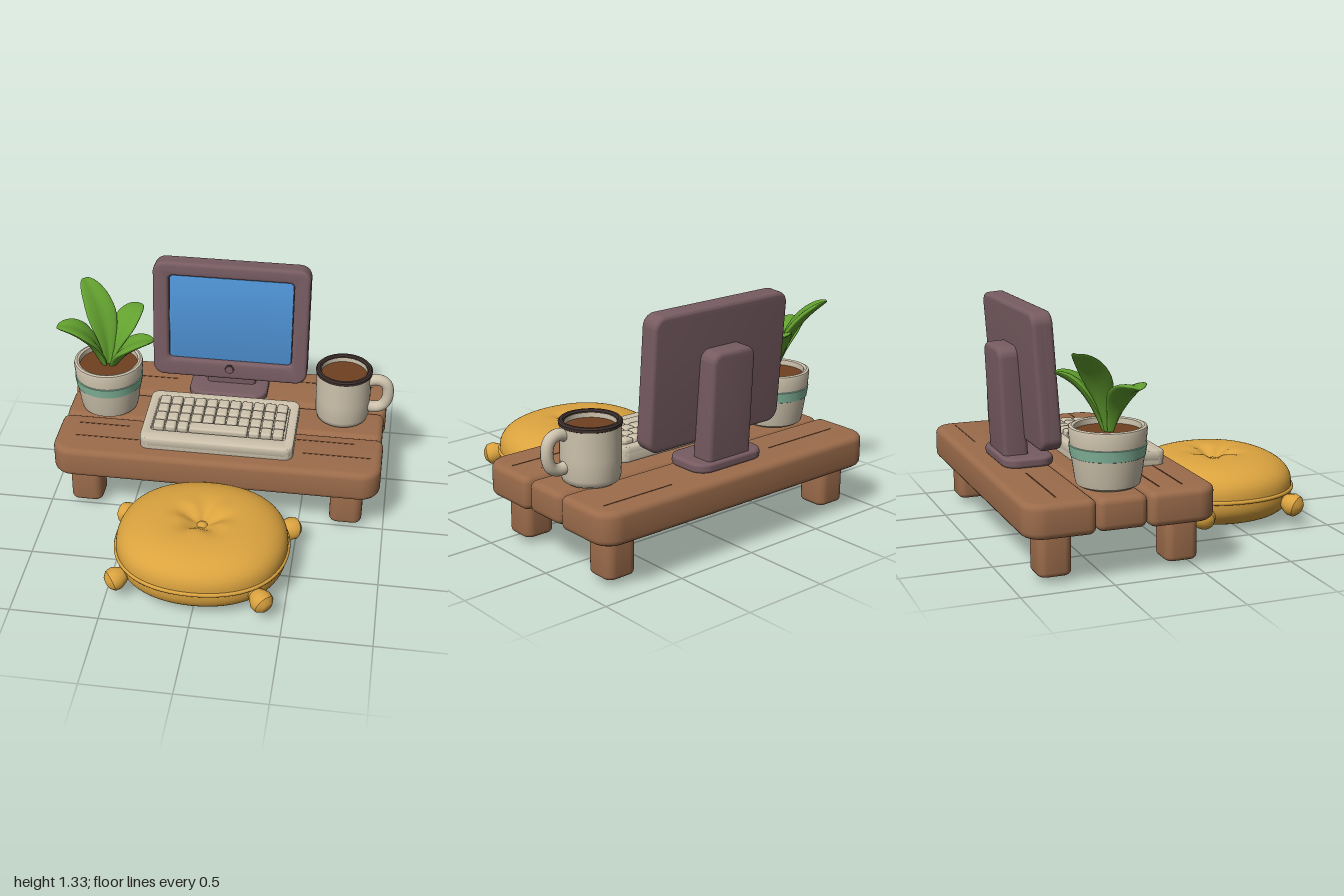
import * as THREE from 'three';
import { mergeVertices, toCreasedNormals } from 'three/addons/utils/BufferGeometryUtils.js';
import { RoundedBoxGeometry } from 'three/addons/geometries/RoundedBoxGeometry.js';

const material = (name, color) => Object.assign(new THREE.MeshStandardMaterial({ color }), { name });
const wood = material('wood', 0x9c6c4b);
const darkWood = material('dark wood', 0x70482f);
const plum = material('plum plastic', 0x775c62);
const blue = material('blue screen', 0x4f94d6);
const cream = material('cream', 0xcdc2ac);
const gold = material('gold fabric', 0xdba33f);
const green = material('leaf green', 0x62a02f);
const brown = material('coffee and soil', 0x70401f);
const dark = material('dark trim', 0x3d302c);
const teal = material('teal band', 0x84b79c);

function add(parent, name, geometry, mat, x = 0, y = 0, z = 0) {
  const mesh = new THREE.Mesh(geometry, mat);
  mesh.name = name;
  mesh.position.set(x, y, z);
  parent.add(mesh);
  return mesh;
}

function group(parent, name, x = 0, y = 0, z = 0) {
  const g = new THREE.Group();
  g.name = name;
  g.position.set(x, y, z);
  parent.add(g);
  return g;
}

// Rounded rectangle with separate corner radii for its top and bottom edge
function outline(Type, w, h, top, bottom = top, cy = 0) {
  const s = new Type(), x = w / 2, y = h / 2;
  s.absarc(x - top, cy + y - top, top, 0, Math.PI / 2);
  s.absarc(-x + top, cy + y - top, top, Math.PI / 2, Math.PI);
  s.absarc(-x + bottom, cy - y + bottom, bottom, Math.PI, Math.PI * 1.5);
  s.absarc(x - bottom, cy - y + bottom, bottom, Math.PI * 1.5, Math.PI * 2);
  s.closePath();
  return s;
}

// Soft-edged slab, centred, with its thickness along z
function slab(shape, depth, bevel) {
  const g = new THREE.ExtrudeGeometry(shape, {
    depth: depth - 2 * bevel, bevelSize: bevel, bevelThickness: bevel,
    bevelOffset: -bevel, bevelSegments: 4, curveSegments: 6,
  });
  g.translate(0, 0, bevel - depth / 2);
  return toCreasedNormals(g, 0.7);
}
const flatSlab = (shape, depth, bevel) => slab(shape, depth, bevel).rotateX(-Math.PI / 2);

const lathe = (points, segments = 40) =>
  toCreasedNormals(new THREE.LatheGeometry(points.map(p => new THREE.Vector2(...p)), segments), 0.7);

function buildTable(model) {
  const table = group(model, 'table');
  // Three planks: back edge, front edge, back corner radius, front corner radius
  [[-0.955, -0.575, 0.12, 0.045], [-0.57, -0.295, 0.045, 0.045], [-0.29, 0.1, 0.045, 0.12]]
    .forEach(([z0, z1, back, front], i) => {
      const w = i === 1 ? 1.91 : 1.93;
      add(table, 'plank', flatSlab(outline(THREE.Shape, w, z1 - z0, back, front), i === 1 ? 0.175 : 0.185, 0.035),
        wood, 0, 0.367, (z0 + z1) / 2);
    });
  // Grain grooves
  [[-0.45, -0.07, 0.8], [0.7, -0.08, 0.4], [0.55, -0.21, 0.5], [-0.6, -0.76, 0.5], [0.65, -0.83, 0.45], [-0.7, -0.2, 0.3]]
    .forEach(([x, z, w]) => add(table, 'grainGroove', new THREE.BoxGeometry(w, 0.003, 0.007), darkWood, x, 0.46, z));
  for (const x of [-0.78, 0.775]) for (const z of [-0.07, -0.77])
    add(table, 'leg', flatSlab(outline(THREE.Shape, 0.19, 0.185, 0.05), 0.26, 0.025), wood, x, 0.175, z);
}

function buildMonitor(model) {
  const monitor = group(model, 'monitor', 0, 0.965, -0.672);
  monitor.rotation.x = -0.07;
  add(monitor, 'monitorBack', slab(outline(THREE.Shape, 0.94, 0.75, 0.07), 0.0775, 0.02), plum, 0, 0, -0.019);
  const frame = outline(THREE.Shape, 0.94, 0.75, 0.07);
  frame.holes.push(outline(THREE.Path, 0.75, 0.55, 0.03, 0.03, 0.015));
  add(monitor, 'bezel', slab(frame, 0.0875, 0.02), plum, 0, 0, 0.014);
  add(monitor, 'screenSurround', new THREE.BoxGeometry(0.77, 0.57, 0.008), dark, 0, 0.015, 0.022);
  add(monitor, 'screen', slab(outline(THREE.Shape, 0.742, 0.542, 0.025), 0.009, 0.002), blue, 0, 0.015, 0.031);
  add(monitor, 'powerButtonRing', new THREE.CylinderGeometry(0.03, 0.03, 0.006, 20).rotateX(Math.PI / 2), dark, 0, -0.305, 0.057);
  add(monitor, 'powerButton', new THREE.CylinderGeometry(0.022, 0.025, 0.014, 20).rotateX(Math.PI / 2), plum, 0, -0.305, 0.058);
  // Stand
  add(model, 'standColumn', slab(outline(THREE.Shape, 0.3, 0.63, 0.06, 0.03), 0.14, 0.025), plum, 0, 0.795, -0.762)
    .rotation.x = -0.04;
  add(model, 'standBase', flatSlab(outline(THREE.Shape, 0.48, 0.29, 0.09), 0.055, 0.018), plum, -0.01, 0.483, -0.697);
}

function buildKeyboard(model) {
  const keyboard = group(model, 'keyboard', 0, 0.502, -0.23);
  keyboard.rotation.x = 0.05;
  const tray = outline(THREE.Shape, 0.9, 0.48, 0.05);
  tray.holes.push(outline(THREE.Path, 0.79, 0.33, 0.02, 0.02, 0.018));
  add(keyboard, 'keyboardBase', flatSlab(outline(THREE.Shape, 0.9, 0.48, 0.05), 0.07, 0.015), cream, 0, -0.01, 0);
  add(keyboard, 'keyboardRim', flatSlab(tray, 0.065, 0.012), cream, 0, 0.014, 0);
  // Keys, with a long bar in the front row
  const key = new RoundedBoxGeometry(0.064, 0.05, 0.072, 2, 0.014);
  for (let row = 0; row < 4; row++) for (let col = 0; col < 11; col++) {
    if (row === 3 && col > 2 && col < 8) continue;
    add(keyboard, 'key', key, cream, (col - 5) * 0.0705, 0.04, -0.138 + row * 0.08);
  }
  add(keyboard, 'spaceBar', new RoundedBoxGeometry(0.345, 0.05, 0.072, 2, 0.014), cream, 0, 0.04, 0.102);
}

function buildMug(model) {
  const mug = group(model, 'mug', 0.7, 0.46, -0.505);
  add(mug, 'mugBody', lathe([[0, 0], [0.135, 0], [0.152, 0.012], [0.16, 0.04], [0.163, 0.15], [0.163, 0.32],
    [0.137, 0.32], [0.135, 0.25]]), cream);
  add(mug, 'mugRim', lathe([[0.161, 0.308], [0.167, 0.312], [0.168, 0.328], [0.16, 0.337], [0.146, 0.337], [0.138, 0.328], [0.138, 0.315]]), dark);
  add(mug, 'coffee', new THREE.CylinderGeometry(0.137, 0.137, 0.01, 40), brown, 0, 0.29, 0);
  const path = new THREE.CatmullRomCurve3([[0.14, 0.27], [0.2, 0.285], [0.25, 0.262], [0.267, 0.19], [0.245, 0.12],
    [0.2, 0.095], [0.14, 0.1]].map(([x, y]) => new THREE.Vector3(x, y, 0.02)));
  add(mug, 'mugHandle', new THREE.TubeGeometry(path, 32, 0.034, 14), cream);
}

// Leaf: a sphere stretched along a curved spine, narrow at the stem
function leaf(mid, tip, halfWidth) {
  const spine = new THREE.QuadraticBezierCurve3(
    new THREE.Vector3(mid[0] * 0.15, 0.25, mid[2] * 0.15), new THREE.Vector3(...mid), new THREE.Vector3(...tip));
  const g = new THREE.SphereGeometry(1, 24, 24), p = g.attributes.position;
  const up = new THREE.Vector3(0, 1, 0);
  for (let i = 0; i < p.count; i++) {
    const x = p.getX(i), z = p.getZ(i), t = THREE.MathUtils.clamp((p.getY(i) + 1) / 2, 0, 1);
    const tangent = spine.getTangent(t);
    const side = tangent.clone().cross(up).normalize();
    const normal = side.clone().cross(tangent);
    const width = halfWidth * (0.45 + 0.6 * THREE.MathUtils.smoothstep(t, 0.05, 0.6));
    const v = spine.getPoint(t).addScaledVector(side, x * width)
      .addScaledVector(normal, z * 0.024 + Math.abs(x) * 0.025);
    p.setXYZ(i, v.x, v.y, v.z);
  }
  g.computeVertexNormals();
  return g;
}

function buildPlant(model) {
  const plant = group(model, 'plant', -0.71, 0.46, -0.428);
  add(plant, 'pot', lathe([[0, 0], [0.15, 0], [0.168, 0.012], [0.175, 0.04], [0.198, 0.2], [0.207, 0.3], [0.203, 0.315],
    [0.19, 0.32], [0.176, 0.315], [0.172, 0.24]]), cream);
  add(plant, 'potBand', lathe([[0.19, 0.16], [0.1965, 0.163], [0.205, 0.221], [0.2, 0.224]]), teal);
  add(plant, 'soil', new THREE.CylinderGeometry(0.174, 0.174, 0.02, 36), brown, 0, 0.275, 0);
  [[[-0.01, 0.6, -0.05], [-0.18, 0.73, -0.23], 0.092], [[-0.1, 0.57, 0.05], [-0.29, 0.55, 0.06], 0.092],
    [[0.08, 0.55, -0.06], [0.16, 0.58, -0.235], 0.085], [[0.1, 0.45, 0.03], [0.28, 0.465, -0.01], 0.085]]
    .forEach(([mid, tip, w]) => add(plant, 'leaf', leaf(mid, tip, w), green));
}

function buildCushion(model) {
  const cushion = group(model, 'cushion', 0, 0.2, 0.5);
  const square = a => 1 + 0.035 * Math.sin(2 * a) ** 2;
  // Plump profile with a tufted centre above and below
  const profile = [];
  for (let i = 0; i <= 48; i++) {
    const a = Math.PI * i / 48, c = Math.cos(a), r = Math.abs(Math.sin(a)) ** (i % 48 ? 0.72 : 1);
    const dimple = 1 - 0.32 * Math.exp(-((r / 0.16) ** 2)) - 0.12 * Math.exp(-((r / 0.4) ** 2));
    profile.push(new THREE.Vector2(i % 48 ? r : 0, -0.2 * Math.sign(c) * Math.abs(c) ** 0.72 * dimple));
  }
  let body = new THREE.LatheGeometry(profile, 64);
  const p = body.attributes.position;
  for (let i = 0; i < p.count; i++) {
    const x = p.getX(i), z = p.getZ(i), r = Math.hypot(x, z), a = Math.atan2(z, x), k = square(a);
    const fold = 1 - 0.05 * Math.exp(-(((r - 0.22) / 0.14) ** 2)) * Math.cos(5 * a + 1);
    p.setXYZ(i, x * 0.485 * k, p.getY(i) * fold, z * 0.442 * k);
  }
  body.deleteAttribute('uv');
  body.deleteAttribute('normal');
  body = mergeVertices(body, 1e-5);
  body.computeVertexNormals();
  add(cushion, 'cushionBody', body, gold);
  add(cushion, 'tuftButton', new THREE.SphereGeometry(0.035, 16, 12), gold, 0, 0.115, 0).scale.y = 0.8;
  // Piped seam
  const seam = [];
  for (let i = 0; i < 32; i++) {
    const a = i / 32 * Math.PI * 2, k = square(a);
    seam.push(new THREE.Vector3(0.485 * k * Math.cos(a), 0, 0.442 * k * Math.sin(a)));
  }
  add(cushion, 'seam', new THREE.TubeGeometry(new THREE.CatmullRomCurve3(seam, true), 96, 0.012, 8, true), gold);
  // Knotted corners: a pinched neck ending in a round knob
  const knob = lathe([[0, -0.12], [0.06, -0.12], [0.04, -0.05], [0.05, -0.035], [0.066, 0], [0.062, 0.035], [0.035, 0.06], [0, 0.066]], 20);
  [[-0.475, -0.27], [0.47, -0.27], [-0.435, 0.3], [0.375, 0.365]].forEach(([x, z]) => {
    add(cushion, 'cornerKnob', knob, gold, x, -0.06, z).quaternion.setFromUnitVectors(
      new THREE.Vector3(0, 1, 0), new THREE.Vector3(x, -0.15, z).normalize());
  });
}

export function createModel() {
  const model = new THREE.Group();
  model.name = 'deskScene';
  [buildTable, buildMonitor, buildKeyboard, buildMug, buildPlant, buildCushion].forEach(build => build(model));
  return model;
}
